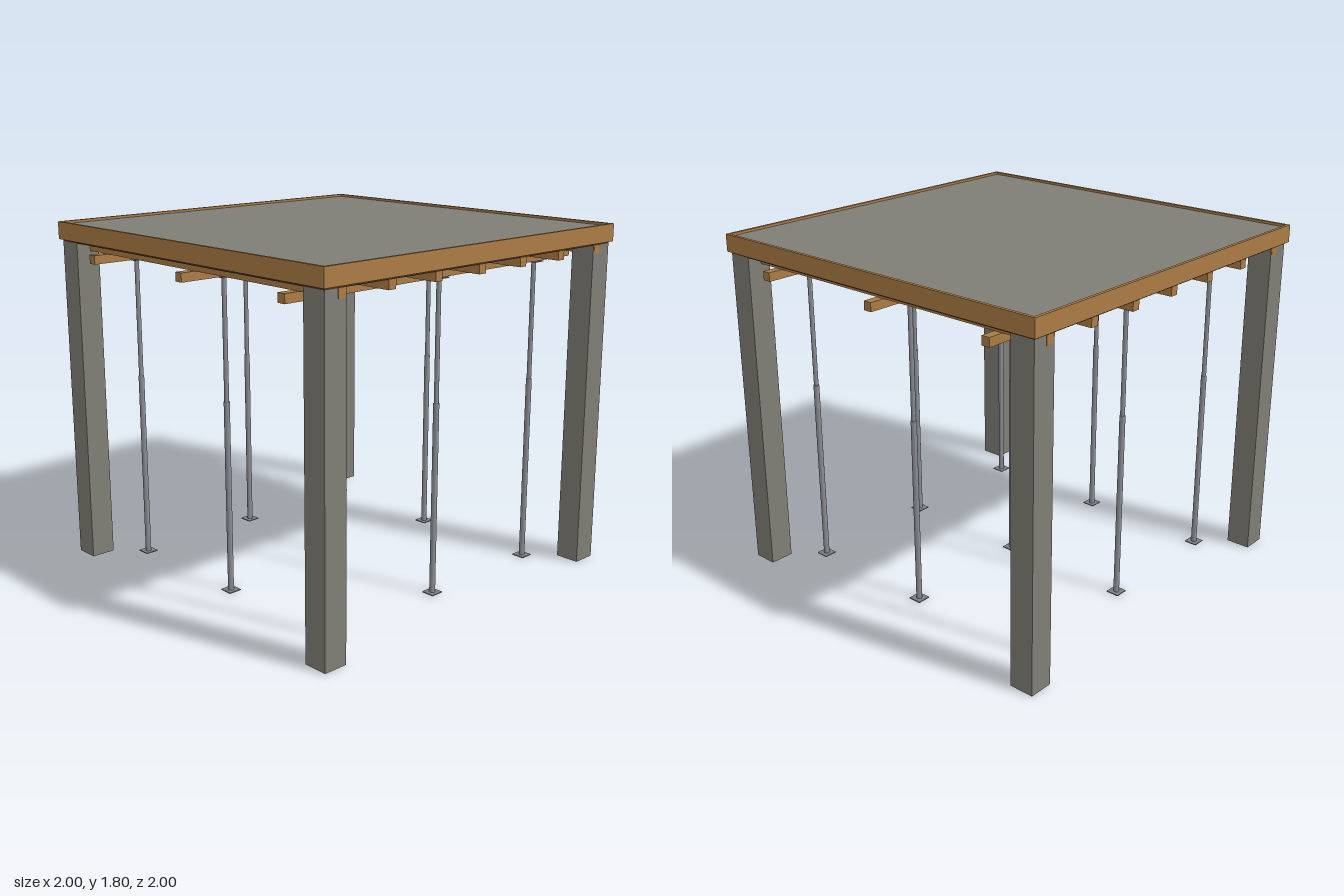
import * as THREE from 'three';

const mat = (name, color) => {
  const m = new THREE.MeshStandardMaterial({ color });
  m.name = name;
  return m;
};

export function createModel() {
  const concrete = mat('concrete', 0x7f7e76);
  const timber = mat('timber', 0xab7c45);
  const plywood = mat('dark plywood', 0x4a2c1c);
  const steel = mat('steel', 0x8b8e94);
  const plateSteel = mat('plate steel', 0x7b7e83);

  const model = new THREE.Group();
  model.name = 'slabFormwork';

  const add = (parent, name, geometry, material, x, y, z) => {
    const mesh = new THREE.Mesh(geometry, material);
    mesh.name = name;
    mesh.position.set(x, y, z);
    parent.add(mesh);
    return mesh;
  };
  // Box given by its bottom and top heights
  const box = (parent, name, material, x, z, w, d, y0, y1) =>
    add(parent, name, new THREE.BoxGeometry(w, y1 - y0, d), material, x, (y0 + y1) / 2, z);

  // Corner columns
  for (const x of [-0.92, 0.92])
    for (const z of [-0.92, 0.92])
      box(model, 'column', concrete, x, z, 0.128, 0.128, 0, 1.7);

  // Plywood deck and the concrete slab on it
  box(model, 'deck', plywood, 0, 0, 1.968, 1.968, 1.7, 1.712);
  box(model, 'slab', concrete, 0, 0, 1.968, 1.968, 1.712, 1.787);

  // Edge boards around the slab
  for (const s of [-1, 1]) {
    box(model, 'edgeBoard', timber, 0, s * 0.992, 2, 0.016, 1.71, 1.8);
    box(model, 'edgeBoard', timber, s * 0.992, 0, 0.016, 1.968, 1.71, 1.8);
  }

  // Joists running front to back under the deck
  for (let i = -3; i <= 3; i++)
    box(model, 'joist', timber, i * 0.295, 0, 0.045, 1.97, 1.655, 1.7);

  // Main beams running left to right, each on three props
  const spots = [-0.72, 0, 0.72];
  for (const z of spots)
    box(model, 'beam', timber, 0, z, 1.97, 0.045, 1.61, 1.655);

  // Telescopic steel props with foot and head plates
  const outer = new THREE.CylinderGeometry(0.015, 0.015, 0.985, 16);
  const inner = new THREE.CylinderGeometry(0.012, 0.012, 0.62, 16);
  for (const x of spots)
    for (const z of spots) {
      const prop = new THREE.Group();
      prop.name = 'prop';
      prop.position.set(x, 0, z);
      box(prop, 'footPlate', plateSteel, 0, 0, 0.07, 0.07, 0, 0.005);
      add(prop, 'outerTube', outer, steel, 0, 0.4975, 0);
      add(prop, 'innerTube', inner, steel, 0, 1.295, 0);
      box(prop, 'headPlate', plateSteel, 0, 0, 0.07, 0.07, 1.605, 1.61);
      model.add(prop);
    }

  return model;
}
